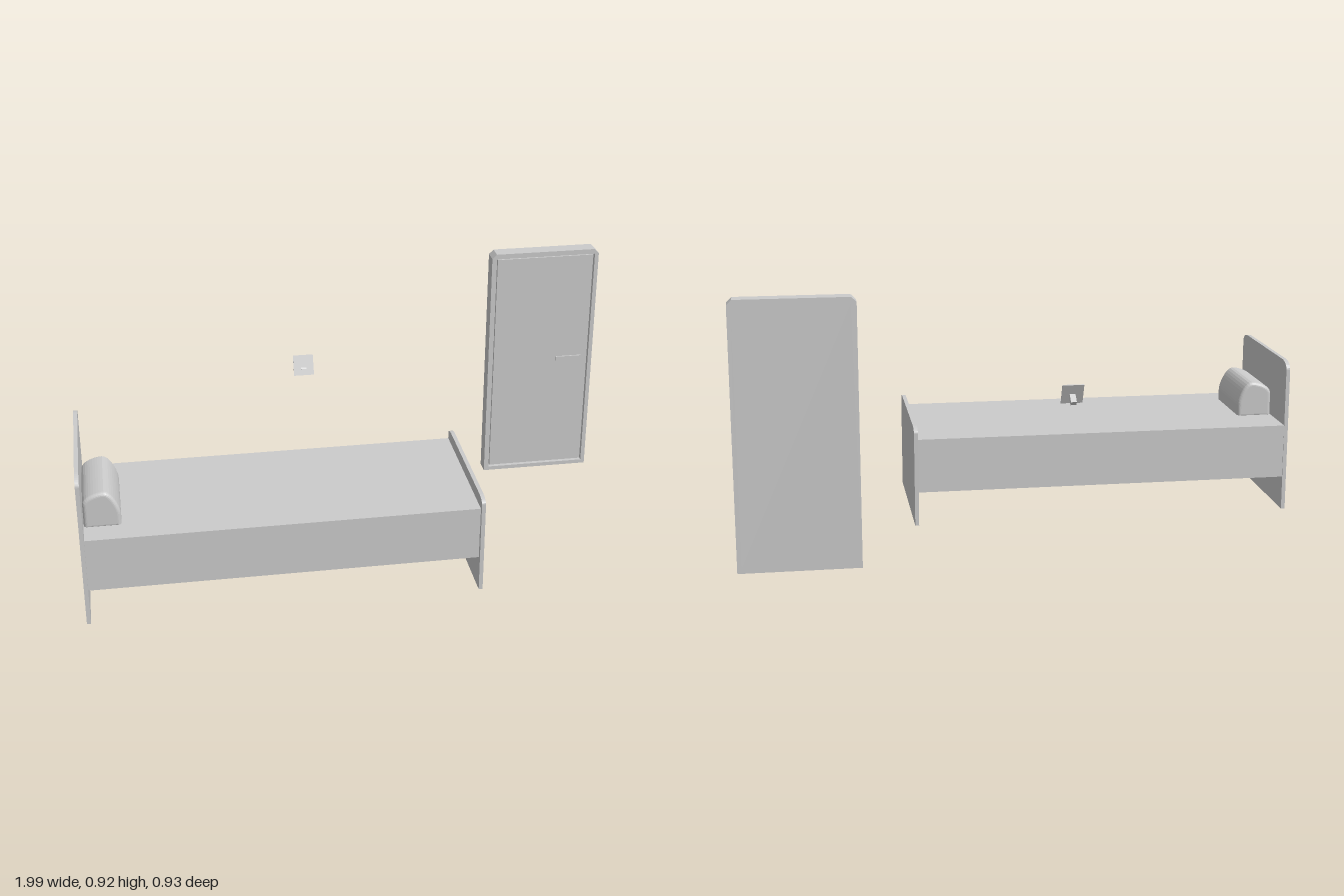
import * as THREE from 'three';

const material = new THREE.MeshStandardMaterial({ color: 0xcccccc, flatShading: true });
const smooth = new THREE.MeshStandardMaterial({ color: 0xcccccc });

function add(parent, name, geometry, mat = material) {
  const mesh = new THREE.Mesh(geometry, mat);
  mesh.name = name;
  parent.add(mesh);
  return mesh;
}

// Box given by its extents on each axis
function box(parent, name, [x0, x1], [y0, y1], [z0, z1]) {
  const mesh = add(parent, name, new THREE.BoxGeometry(x1 - x0, y1 - y0, z1 - z0));
  mesh.position.set((x0 + x1) / 2, (y0 + y1) / 2, (z0 + z1) / 2);
  return mesh;
}

// Upright board across the bed, its two top corners rounded (rz along z, ry along y)
function endBoard(parent, name, x0, x1, top, rz, ry) {
  const z0 = -0.082, z1 = 0.463, bottom = 0.013;
  const s = new THREE.Shape();
  s.moveTo(-z1, bottom);
  s.lineTo(-z0, bottom);
  s.lineTo(-z0, top - ry);
  s.bezierCurveTo(-z0, top - ry * 0.45, -z0 - rz * 0.45, top, -z0 - rz, top);
  s.lineTo(-z1 + rz, top);
  s.bezierCurveTo(-z1 + rz * 0.45, top, -z1, top - ry * 0.45, -z1, top - ry);
  const g = new THREE.ExtrudeGeometry(s, { depth: x1 - x0, bevelEnabled: false, curveSegments: 8 });
  g.rotateY(Math.PI / 2);
  g.translate(x0, 0, 0);
  return add(parent, name, g);
}

function createBed() {
  const bed = new THREE.Group();
  bed.name = 'bed';
  endBoard(bed, 'headboard', -1, -0.986, 0.568, 0.055, 0.03);
  endBoard(bed, 'footboard', 0.356, 0.37, 0.372, 0.05, 0.018);
  box(bed, 'bedFrame', [-0.987, 0.357], [0.135, 0.261], [-0.079, 0.447]);
  box(bed, 'mattress', [-0.987, 0.357], [0.261, 0.33], [-0.081, 0.45]);

  // Pillow: soft wedge section swept along z with rounded ends
  const s = new THREE.Shape();
  s.moveTo(-0.972, 0.335);
  s.lineTo(-0.972, 0.41);
  s.bezierCurveTo(-0.972, 0.43, -0.93, 0.442, -0.913, 0.442);
  s.bezierCurveTo(-0.896, 0.442, -0.872, 0.39, -0.872, 0.37);
  s.lineTo(-0.872, 0.335);
  s.closePath();
  const g = new THREE.ExtrudeGeometry(s, {
    depth: 0.25, bevelSize: 0.013, bevelThickness: 0.013, bevelSegments: 5, curveSegments: 10,
  });
  g.translate(0, 0, 0.098);
  add(bed, 'pillow', g, smooth);
  return bed;
}

function createDoor() {
  const door = new THREE.Group();
  door.name = 'door';
  // Surround with clipped top corners and an open middle
  const [x0, x1, top, c] = [0.58, 0.993, 0.916, 0.017];
  const outline = [[x0, 0], [x1, 0], [x1, top - c], [x1 - c, top], [x0 + c, top], [x0, top - c]];
  const s = new THREE.Shape(outline.map(([x, y]) => new THREE.Vector2(x, y)));
  const hole = [[0.598, 0.015], [0.598, 0.897], [0.978, 0.897], [0.978, 0.015]];
  s.holes.push(new THREE.Path(hole.map(([x, y]) => new THREE.Vector2(x, y))));
  const g = new THREE.ExtrudeGeometry(s, { depth: 0.056, bevelEnabled: false });
  g.translate(0, 0, -0.463);
  add(door, 'doorSurround', g);
  box(door, 'doorLeaf', [0.603, 0.973], [0.02, 0.892], [-0.462, -0.413]);
  box(door, 'doorBacking', [0.597, 0.979], [0.014, 0.898], [-0.463, -0.425]);
  box(door, 'doorHandle', [0.85, 0.95], [0.455, 0.478], [-0.414, -0.407]);
  return door;
}

function createTiltedPanel() {
  const panel = new THREE.Group();
  panel.name = 'tiltedPanel';
  const plate = add(panel, 'plate', new THREE.BoxGeometry(0.075, 0.076, 0.004));
  plate.position.set(-0.147, 0.543, -0.349);
  plate.rotation.x = -0.42;
  // Short support leaning away behind the plate
  const bracket = add(panel, 'bracket', new THREE.BoxGeometry(0.02, 0.017, 0.036));
  bracket.position.set(-0.147, 0.526, -0.359);
  bracket.rotation.x = -0.7;
  return panel;
}

export function createModel() {
  const model = new THREE.Group();
  model.name = 'bedroomSet';
  model.add(createBed(), createDoor(), createTiltedPanel());
  return model;
}
